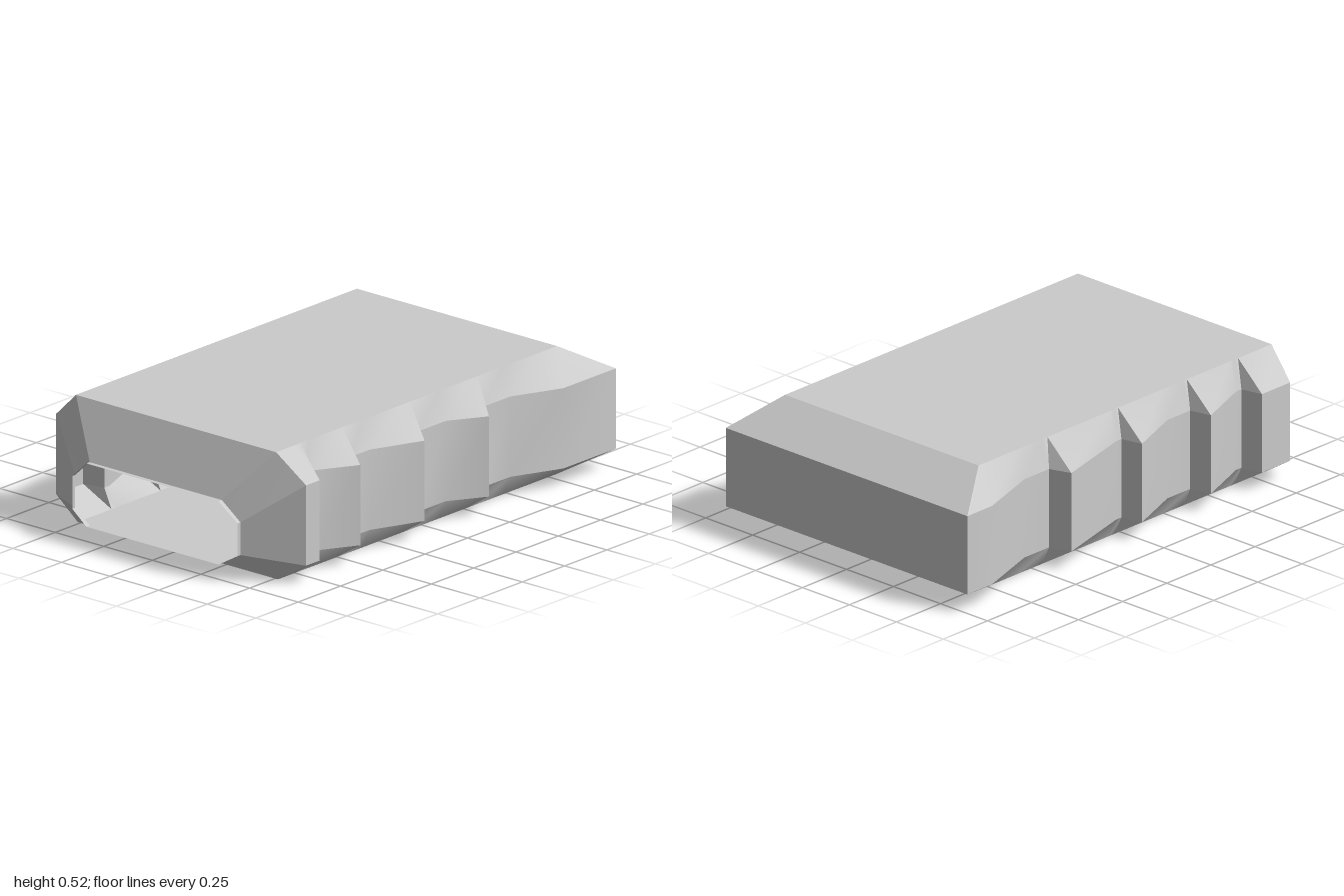
import * as THREE from 'three';
import { toCreasedNormals } from 'three/addons/utils/BufferGeometryUtils.js';

const OUT = 0.643, IN = 0.552, FLAT = 0.515;
const TOP = 0.525, UP = 0.41, LOW = 0.08;

const material = new THREE.MeshStandardMaterial({ color: 0xcccccc, side: THREE.DoubleSide });

// Ruled surface between two rails with the same number of points
function strip(name, a, b) {
  const pos = [];
  for (let i = 0; i < a.length - 1; i++) {
    for (const p of [a[i], b[i], a[i + 1], b[i], b[i + 1], a[i + 1]]) pos.push(...p);
  }
  const geo = new THREE.BufferGeometry();
  geo.setAttribute('position', new THREE.Float32BufferAttribute(pos, 3));
  const mesh = new THREE.Mesh(toCreasedNormals(geo, 0.9), material);
  mesh.name = name;
  return mesh;
}

// Grip outline of each side, back to front: [z, half width]
const leftGrip = [
  [-1, OUT], [-0.69, OUT], [-0.48, IN], [-0.33, IN], [-0.25, OUT], [-0.1, IN], [0.07, IN],
  [0.13, OUT], [0.35, IN], [0.47, IN], [0.51, OUT], [0.67, IN], [0.72, IN], [0.75, OUT], [0.83, OUT],
];
const rightGrip = [
  [-1, OUT], [-0.86, OUT], [-0.58, IN], [-0.44, IN], [-0.41, OUT], [-0.06, IN], [-0.03, IN],
  [-0.01, OUT], [0.23, IN], [0.36, IN], [0.38, OUT], [0.62, IN], [0.65, IN], [0.67, OUT], [0.83, OUT],
];

// Rails of one side: bottom edge, lower side edge, upper side edge, top edge
function sideRails(grip, s) {
  const last = grip.length - 1;
  const edge = (y, front) => grip.map(([z], i) =>
    [s * FLAT, y, i === last ? front : THREE.MathUtils.clamp(z, -0.8, front)]);
  const side = (y) => grip.map(([z, w]) => [s * w, y, z]);
  return [edge(0, 0.85), side(LOW), side(UP), edge(TOP, 0.86)];
}

export function createModel() {
  const group = new THREE.Group();
  group.name = 'hollowCap';

  const left = sideRails(leftGrip, 1);
  const right = sideRails(rightGrip, -1);
  const rails = [...left, ...right.reverse()];
  const first = rails.map((r) => r[0]);
  const last = rails.map((r) => r[r.length - 1]);

  // Body walls around the octagonal section
  const names = ['leftLowerBevel', 'leftGrip', 'leftUpperBevel', 'topPanel',
    'rightUpperBevel', 'rightGrip', 'rightLowerBevel', 'bottomPanel'];
  names.forEach((name, i) => {
    const j = (i + 1) % 8;
    const flat = i % 4 === 3;
    group.add(strip(name, flat ? [first[i], last[i]] : rails[i], flat ? [first[j], last[j]] : rails[j]));
  });

  // Closed back end with sloping top and bottom
  const [lBot, lLow, lUp, lTop, rTop, rUp, rLow, rBot] = first;
  group.add(strip('backWall', [lLow, lUp], [rLow, rUp]));
  group.add(strip('backTopSlope', [lUp, lTop], [rUp, rTop]));
  group.add(strip('backBottomSlope', [rLow, rBot], [lLow, lBot]));

  // Tapered front and the short lip around the open mouth
  const half = [[0.34, 0.06, 0.98], [0.425, 0.11, 0.968], [0.425, 0.245, 0.968], [0.34, 0.32, 0.98]];
  const mouth = [...half, ...half.map(([x, y, z]) => [-x, y, z]).reverse()];
  const lip = mouth.map(([x, y, z]) => [x, y, z > 0.975 ? 1 : 0.985]);
  for (let i = 0; i < 8; i++) {
    const j = (i + 1) % 8;
    group.add(strip('frontTaper', [last[i], mouth[i]], [last[j], mouth[j]]));
    group.add(strip('mouthLip', [mouth[i], lip[i]], [mouth[j], lip[j]]));
  }
  return group;
}
